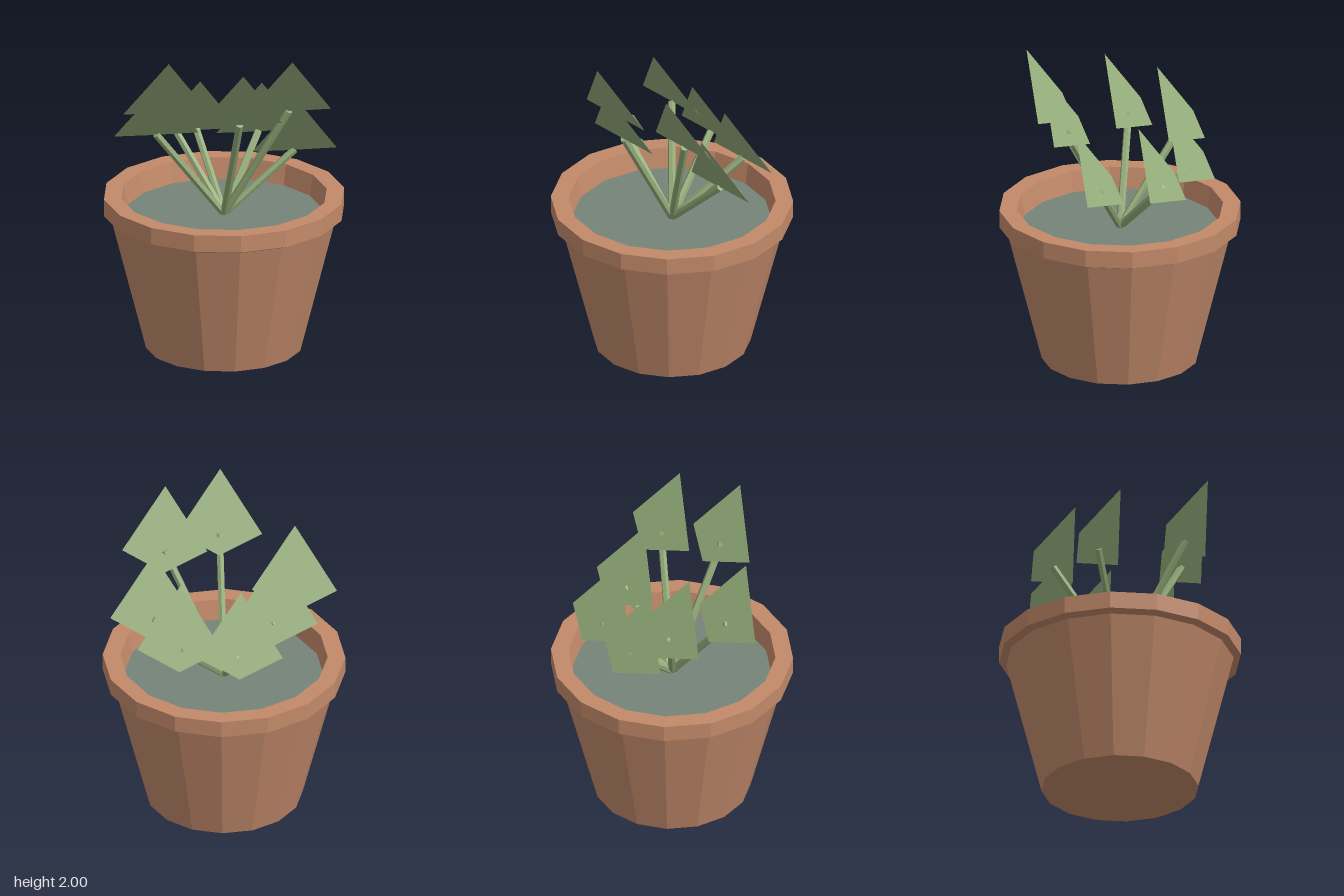
import * as THREE from 'three';

const SIDES = 16;
const SOIL_Y = 0.867;

function material(name, color) {
  const m = new THREE.MeshStandardMaterial({ color });
  m.name = name;
  return m;
}

function part(name, geometry, mat) {
  const mesh = new THREE.Mesh(geometry, mat);
  mesh.name = name;
  return mesh;
}

// Splits shared vertices so that every facet is shaded flat
function faceted(geometry) {
  const g = geometry.toNonIndexed();
  g.computeVertexNormals();
  return g;
}

// Kite leaf folded along its wide diagonal, shaded as one face
function leafGeometry() {
  const g = new THREE.BufferGeometry();
  g.setAttribute('position', new THREE.Float32BufferAttribute([
    -0.265, 0, 0,
    0.265, 0, 0,
    0, 0.38, 0.155,
    0, -0.062, -0.155,
  ], 3));
  const n = new THREE.Vector3(0, 0.31, -0.442).normalize().toArray();
  g.setAttribute('normal', new THREE.Float32BufferAttribute([...n, ...n, ...n, ...n], 3));
  g.setIndex([0, 2, 1, 0, 1, 3]);
  return g;
}

// Straight stem from one point to another
function stemGeometry(from, to) {
  const dir = to.clone().sub(from);
  const g = new THREE.CylinderGeometry(0.024, 0.024, dir.length(), 6);
  g.applyQuaternion(new THREE.Quaternion().setFromUnitVectors(
    new THREE.Vector3(0, 1, 0), dir.clone().normalize()));
  const mid = from.clone().add(to).multiplyScalar(0.5);
  return faceted(g.translate(mid.x, mid.y, mid.z));
}

export function createModel() {
  const group = new THREE.Group();
  group.name = 'pottedPlant';
  const clay = material('terracotta', 0xc38a6a);
  const earth = material('greySoil', 0x768479);
  const green = material('leafGreen', 0x95ae7b);
  green.side = THREE.DoubleSide;

  // Pot: tapered body, overhanging rim and inner wall
  const profile = [
    [0, 0], [0.49, 0], [0.71, 0.87], [0.755, 0.89],
    [0.755, 1], [0.645, 1], [0.62, SOIL_Y],
  ].map(([r, y]) => new THREE.Vector2(r, y));
  group.add(part('pot', faceted(new THREE.LatheGeometry(profile, SIDES)), clay));

  // Soil surface
  const soil = new THREE.CircleGeometry(0.62, SIDES).rotateX(-Math.PI / 2).translate(0, SOIL_Y, 0);
  group.add(part('soil', soil, earth));

  // Seven stems fanning out from the centre, each with a leaf at its tip
  const leaf = leafGeometry();
  const base = new THREE.Vector3(0, SOIL_Y, 0);
  const sprouts = [ // angle in degrees, height of the tip
    [0, 1.27], [32.5, 1.62], [85.3, 1.62], [170.3, 1.445],
    [222.5, 1.445], [255.5, 1.27], [307, 1.27],
  ];
  sprouts.forEach(([degrees, y], i) => {
    const a = THREE.MathUtils.degToRad(degrees);
    const tip = new THREE.Vector3(0.443 * Math.cos(a), y, 0.443 * Math.sin(a));
    const sprout = new THREE.Group();
    sprout.name = `sprout${i + 1}`;
    const blade = part('leaf', leaf, green);
    blade.position.copy(tip);
    sprout.add(part('stem', stemGeometry(base, tip), green), blade);
    group.add(sprout);
  });
  return group;
}
